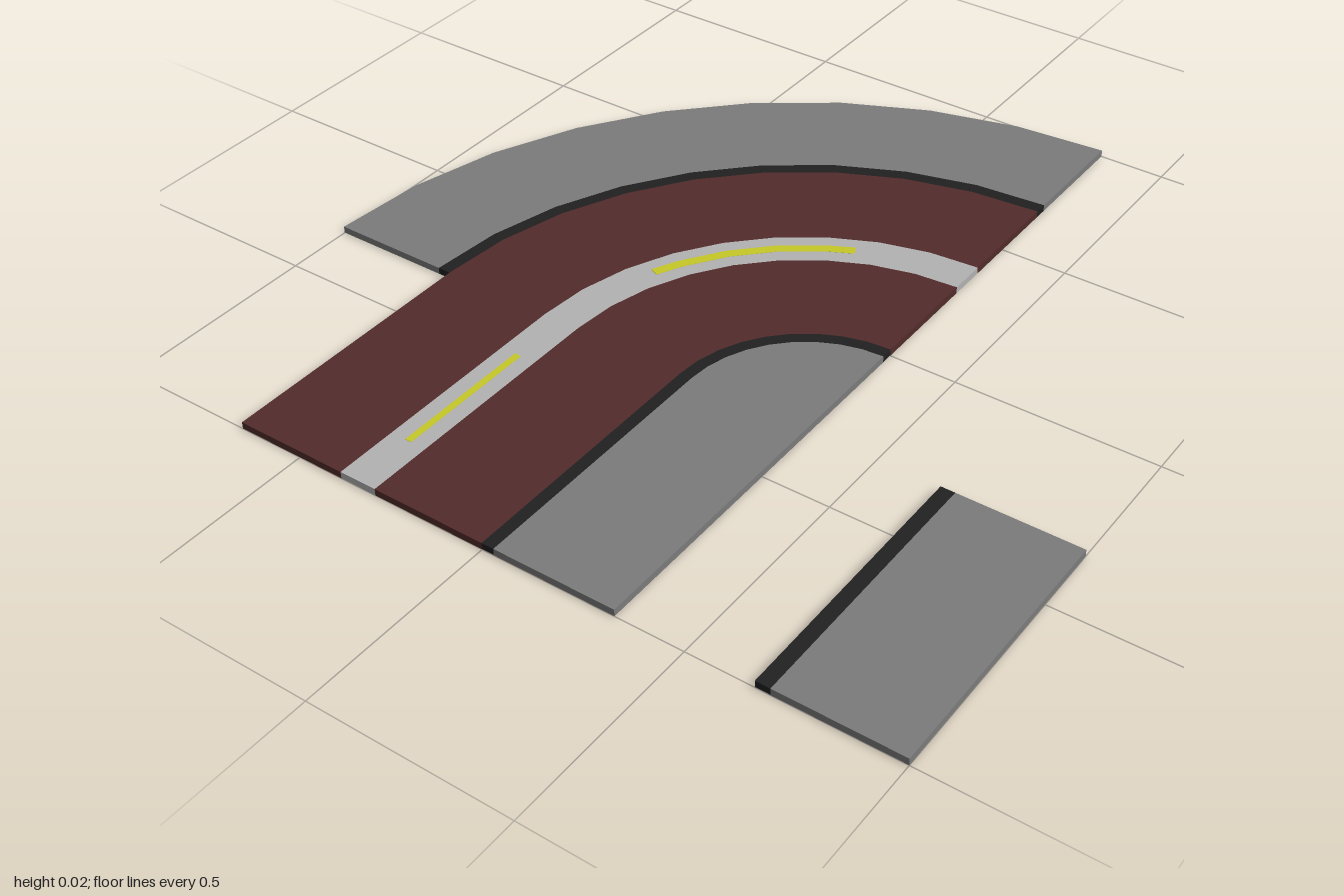
import * as THREE from 'three';

const C = 1 / 3;          // bend centre lies at x = C, z = C
const SEGMENTS = 9;       // facets in the quarter bend
const LOW = 0.0005, TOP = 0.0175;
const DEG = Math.PI / 180;

const material = (color) => new THREE.MeshStandardMaterial({ color, flatShading: true });
const paving = material(0x7b7b7b);
const kerbing = material(0x202020);
const asphalt = material(0x522b2b);
const concrete = material(0xb2b2b2);
const paint = material(0xc6c828);

// Plan points (x, -z) along the bend at radius r, optionally with a straight run to z = 1
function edge(r, straight, from = 0, to = 90) {
  const points = straight ? [new THREE.Vector2(C - r, -1)] : [];
  if (r === 0) return [...points, new THREE.Vector2(C, -C)];
  const angles = [from];
  for (let i = 0; i <= SEGMENTS; i++) {
    const a = (i * 90) / SEGMENTS;
    if (a > from && a < to) angles.push(a);
  }
  angles.push(to);
  for (const a of angles) {
    points.push(new THREE.Vector2(C - r * Math.cos(a * DEG), -C + r * Math.sin(a * DEG)));
  }
  return points;
}

// Flat slab raised from a plan outline
function slab(name, points, mat, low = LOW, top = TOP) {
  const geometry = new THREE.ExtrudeGeometry(new THREE.Shape(points), { depth: top - low, bevelEnabled: false });
  geometry.rotateX(-Math.PI / 2).translate(0, low, 0);
  const mesh = new THREE.Mesh(geometry, mat);
  mesh.name = name;
  return mesh;
}

// Strip between two concentric edges
function band(name, outer, inner, straight, mat, low, top) {
  return slab(name, [...edge(outer, straight), ...edge(inner, straight).reverse()], mat, low, top);
}

// Straight rectangular piece
function strip(name, x0, x1, z0, z1, mat, low = LOW, top = TOP) {
  const mesh = new THREE.Mesh(new THREE.BoxGeometry(x1 - x0, top - low, z1 - z0), mat);
  mesh.position.set((x0 + x1) / 2, (low + top) / 2, (z0 + z1) / 2);
  mesh.name = name;
  return mesh;
}

export function createModel() {
  const model = new THREE.Group();
  model.name = 'curvedRoad';
  const kerbLow = 0.002;  // the paving runs on beneath the straight kerbs

  // Outer pavement around the bend
  model.add(
    band('outerPavement', 4 / 3, 1.033, false, paving),
    band('outerKerb', 1.033, 1, false, kerbing),
  );

  // Two lanes with a pale median between them
  model.add(
    band('outerLane', 1, 0.715, true, asphalt),
    band('median', 0.715, 0.62, true, concrete),
    band('innerLane', 0.62, C, true, asphalt),
  );

  // Inner pavement and its kerb
  model.add(
    band('innerKerb', C, 0.303, true, kerbing, kerbLow),
    band('innerKerbBase', C, 0.303, true, paving, LOW, kerbLow),
    band('innerPavement', 0.303, 0, true, paving),
  );

  // Detached straight pavement
  model.add(
    strip('sidePavement', 0.698, 1, C, 1, paving),
    strip('sideKerb', 0.663, 0.698, C, 1, kerbing, kerbLow),
    strip('sideKerbBase', 0.663, 0.698, C, 1, paving, LOW, kerbLow),
  );

  // Painted dashes on the median
  const outer = edge(0.681, false, 24, 66);
  const inner = edge(0.656, false, 24, 66).reverse();
  model.add(
    slab('curvedDash', [...outer, ...inner], paint, 0.01, 0.018),
    strip('straightDash', -0.343, -0.326, 0.485, 0.845, paint, 0, 0.018),
  );
  return model;
}
